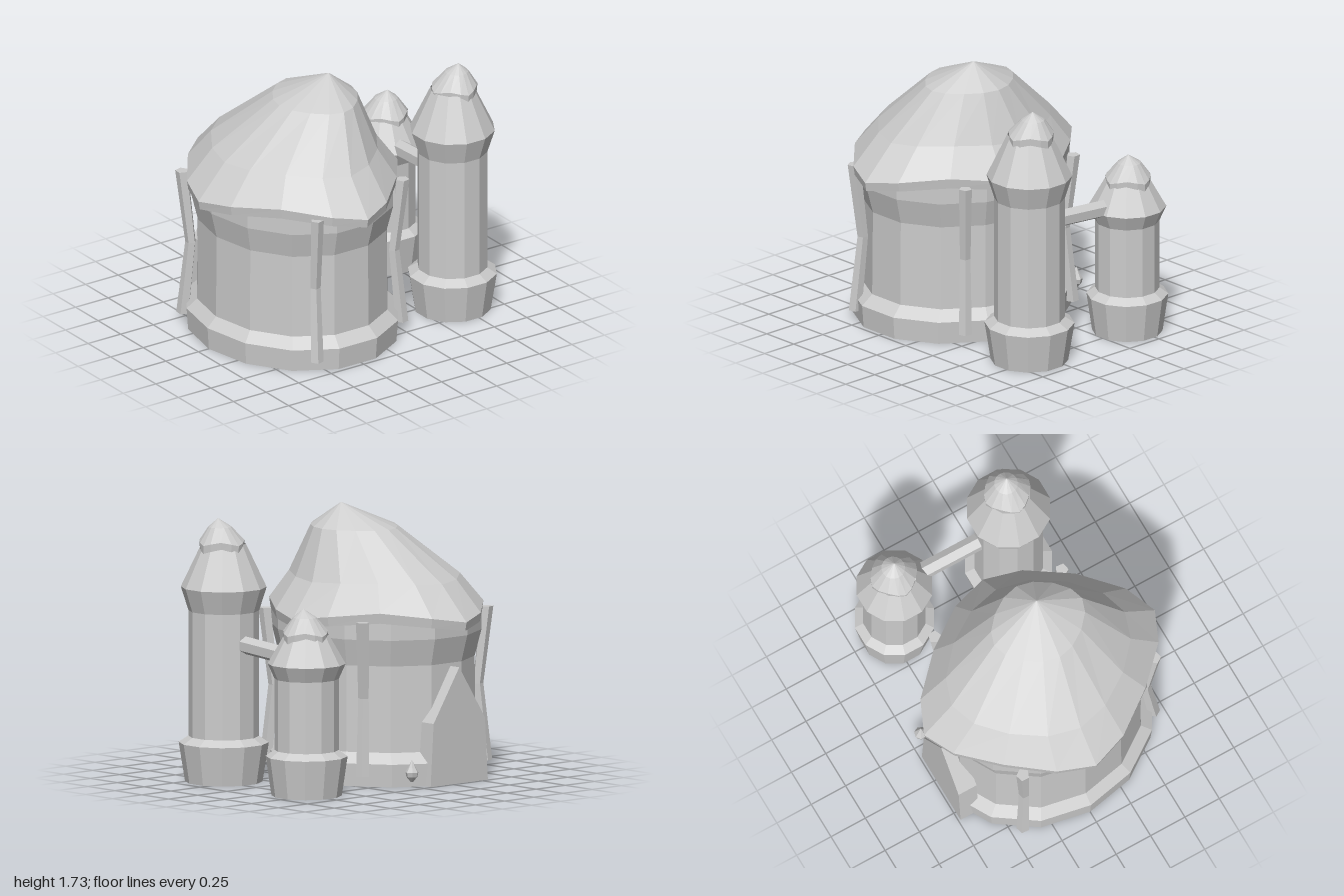
import * as THREE from 'three';

const stone = new THREE.MeshStandardMaterial({ color: 0xcccccc, side: THREE.DoubleSide });
stone.name = 'stone grey';

// Faceted mesh with one flat normal per face
function facet(geometry, name) {
  const flat = geometry.index ? geometry.toNonIndexed() : geometry;
  flat.computeVertexNormals();
  const mesh = new THREE.Mesh(flat, stone);
  mesh.name = name;
  return mesh;
}

// Skin over elliptical rings, listed from bottom to top.
// wave pulls the diagonals inward, lift raises them.
function loft(name, sides, rings, turn = 0) {
  const position = [], index = [];
  for (const { x = 0, z = 0, y, rx, rz = rx, wave = 0, lift = 0 } of rings) {
    for (let j = 0; j < sides; j++) {
      let t = turn + (j / sides) * Math.PI * 2;
      const s = Math.sin(2 * t) ** 2;
      t -= 0.6 * wave * Math.sin(4 * t);
      const f = 1 - wave * s;
      position.push(x + rx * f * Math.cos(t), y + lift * s, z + rz * f * Math.sin(t));
    }
  }
  for (let i = 0; i < rings.length - 1; i++) {
    for (let j = 0; j < sides; j++) {
      const k = (j + 1) % sides;
      const a = i * sides + j, b = i * sides + k, c = a + sides, d = b + sides;
      index.push(a, c, b, b, c, d);
    }
  }
  const geometry = new THREE.BufferGeometry();
  geometry.setAttribute('position', new THREE.Float32BufferAttribute(position, 3));
  geometry.setIndex(index);
  return facet(geometry, name);
}

const HX = -0.28; // house centre

function house() {
  const group = new THREE.Group();
  group.name = 'house';
  const ring = ([r, y]) => ({ x: HX, y, rx: r, rz: r * 1.154 });
  group.add(loft('base', 14, [[0.64, 0], [0.65, 0.145], [0.585, 0.21]].map(ring)));
  group.add(loft('wall', 14, [[0.585, 0.21], [0.58, 0.76], [0.62, 0.93], [0.62, 1.06]].map(ring)));

  // Wavy roof leaning towards its off-centre peak
  group.add(loft('roof', 16, [
    { x: HX, y: 1.04, rx: 0.59, rz: 0.68, wave: 0.06, lift: 0.05 },
    { x: HX, y: 0.985, rx: 0.71, rz: 0.83, wave: 0.13, lift: 0.055 },
    { x: HX, y: 1.04, rx: 0.72, rz: 0.84, wave: 0.13, lift: 0.065 },
    { x: -0.265, y: 1.26, rx: 0.535, rz: 0.63, wave: 0.07, lift: 0.02 },
    { x: -0.15, z: 0.065, y: 1.58, rx: 0.275, rz: 0.32, wave: 0.07 },
    { x: -0.07, z: 0.1, y: 1.73, rx: 0 },
  ]));

  // Bent poles around the wall
  for (const [x, z] of [[-0.555, 0.67], [0.24, 0.46], [0.25, -0.45], [-0.82, -0.43]]) {
    const ring = (y, k, r) => ({ x: HX + (x - HX) * k, z: z * k, y, rx: r });
    group.add(loft('pole', 5, [
      ring(0.07, 1, 0), ring(0.07, 1, 0.043), ring(0.56, 0.93, 0.035),
      ring(1.05, 1.01, 0.043), ring(1.05, 1.01, 0),
    ], Math.atan2(z, x - HX)));
  }

  // Pointed door at the back
  const outline = [[-0.245, 0], [0.245, 0], [0.22, 0.4], [0, 0.74], [-0.22, 0.4]];
  const shape = new THREE.Shape(outline.map(([x, y]) => new THREE.Vector2(x, y)));
  const door = facet(new THREE.ExtrudeGeometry(shape, { depth: 0.13, bevelEnabled: false }), 'door');
  door.position.set(-0.315, 0, -0.735);
  group.add(door);

  // Small lantern beside the door
  group.add(loft('lantern', 7, [[0.01, 0.04], [0.035, 0.07], [0.042, 0.1], [0.025, 0.13], [0, 0.18]]
    .map(([r, y]) => ({ x: 0.04, z: -0.68, y, rx: r }))));
  return group;
}

// Round tower: foot, shaft, flared eave, cone and wavy cap
function tower(name, x, z, foot, shaft, flare, yShaft, yFlare, yCap, lean) {
  const group = new THREE.Group();
  group.name = name;
  const turn = Math.PI / 12;
  const ring = ([r, y]) => ({ y, rx: r / Math.cos(turn) });
  group.add(loft('foot', 12, [[foot * 0.86, 0], [foot, 0.25], [shaft, 0.29]].map(ring), turn));
  group.add(loft('shaft', 12, [[shaft, 0.29], [shaft, yShaft], [flare, yFlare]].map(ring), turn));
  group.add(loft('cone', 12, [[flare, yFlare], [0.135, yCap + 0.02]].map(ring), turn));
  const cx = lean * 0.4;
  group.add(loft('cap', 16, [
    { x: cx, y: yCap + 0.02, rx: 0.1 },
    { x: cx, y: yCap - 0.03, rx: 0.155, wave: 0.1, lift: 0.03 },
    { x: cx, y: yCap + 0.02, rx: 0.158, wave: 0.1, lift: 0.025 },
    { x: lean * 0.8, y: yCap + 0.13, rx: 0.075 },
    { x: lean, z: 0.01, y: yCap + 0.185, rx: 0 },
  ]));
  group.position.set(x, 0, z);
  return group;
}

// Six-sided beam joining the two towers
function beam() {
  const from = new THREE.Vector3(0.72, 0.895, 0.2), to = new THREE.Vector3(0.735, 0.86, -0.34);
  const span = to.clone().sub(from);
  const mesh = facet(new THREE.CylinderGeometry(0.057, 0.057, span.length(), 6), 'beam');
  mesh.position.copy(from).add(to).multiplyScalar(0.5);
  mesh.quaternion.setFromUnitVectors(new THREE.Vector3(0, 1, 0), span.normalize());
  return mesh;
}

export function createModel() {
  const model = new THREE.Group();
  model.name = 'hut with two towers';
  model.add(house());
  model.add(tower('tallTower', 0.71, 0.345, 0.275, 0.216, 0.262, 1.09, 1.24, 1.495, 0.04));
  model.add(tower('shortTower', 0.745, -0.465, 0.25, 0.197, 0.238, 0.745, 0.84, 1.005, 0.02));
  model.add(beam());
  return model;
}
